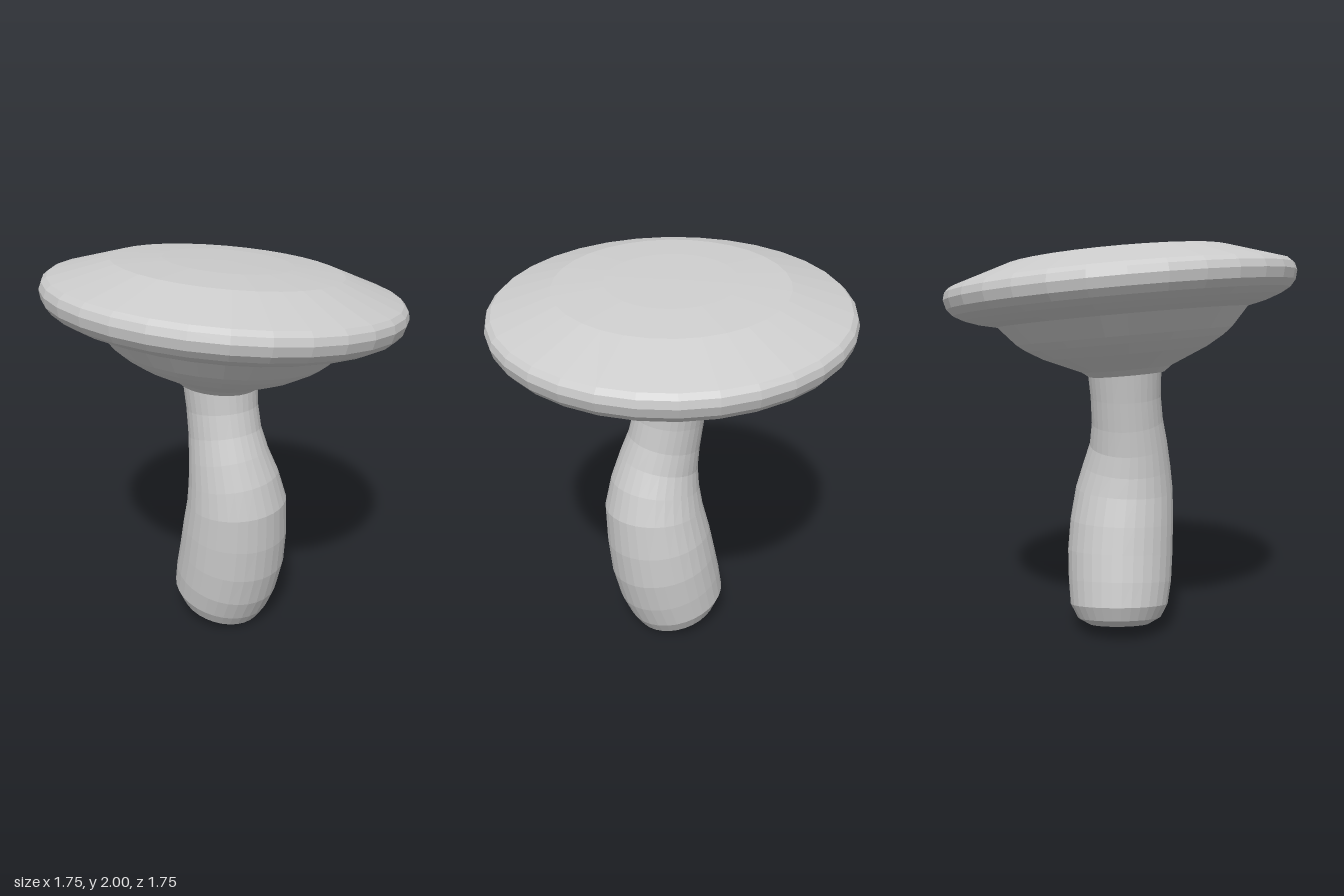
import * as THREE from 'three';

const material = new THREE.MeshStandardMaterial({ color: 0xcccccc, flatShading: true });

// Closed skin through tilted round rings: [x, y, z, radius, slope along x, slope along z], bottom to top
function loftRings(rings, sides) {
  const positions = [], index = [];
  for (const [x, y, z, r, sx, sz] of rings) {
    for (let i = 0; i < sides; i++) {
      const a = (i / sides) * Math.PI * 2;
      const dx = r * Math.cos(a), dz = r * Math.sin(a);
      positions.push(x + dx, y + dx * sx + dz * sz, z + dz);
    }
  }
  for (let k = 0; k < rings.length - 1; k++) {
    for (let i = 0; i < sides; i++) {
      const a = k * sides + i, b = k * sides + ((i + 1) % sides);
      index.push(a, a + sides, b, b, a + sides, b + sides);
    }
  }
  // End discs
  const last = (rings.length - 1) * sides;
  for (let i = 1; i < sides - 1; i++) {
    index.push(0, i, i + 1, last, last + i + 1, last + i);
  }
  const geometry = new THREE.BufferGeometry();
  geometry.setAttribute('position', new THREE.Float32BufferAttribute(positions, 3));
  geometry.setIndex(index);
  geometry.computeVertexNormals();
  return geometry;
}

export function createModel() {
  const group = new THREE.Group();
  group.name = 'mushroom';

  // Crooked stem, bulging in the middle, with a slanted rounded foot
  const stem = new THREE.Mesh(loftRings([
    [-0.025, 0.042, -0.02, 0.16, -0.21, -0.14],
    [-0.022, 0.077, -0.018, 0.22, -0.21, -0.14],
    [-0.016, 0.15, -0.014, 0.257, -0.2, -0.14],
    [0.01, 0.27, 0.01, 0.272, -0.19, -0.16],
    [0.037, 0.42, 0.032, 0.278, -0.13, -0.13],
    [0.051, 0.58, 0.052, 0.273, -0.06, -0.08],
    [0.058, 0.75, 0.074, 0.257, 0.04, -0.02],
    [0.04, 0.88, 0.076, 0.23, 0.14, 0.06],
    [0.015, 1.0, 0.068, 0.202, 0.17, 0.15],
    [-0.003, 1.12, 0.047, 0.184, 0.13, 0.16],
    [-0.016, 1.25, 0.027, 0.18, 0.07, 0.09],
    [-0.025, 1.37, 0.014, 0.187, -0.05, 0.02],
    [-0.028, 1.45, 0.012, 0.187, -0.08, 0.04],
  ], 32), material);
  stem.name = 'stem';
  group.add(stem);

  // Wide cap with rolled rim and a bowl-shaped underside, tilted as one piece
  const profile = [
    [0, -0.44], [0.19, -0.44], [0.23, -0.41], [0.415, -0.33], [0.5, -0.28], [0.545, -0.245],
    [0.63, -0.15], [0.72, -0.13], [0.79, -0.105], [0.84, -0.078], [0.867, -0.045],
    [0.878, 0.0], [0.868, 0.035], [0.845, 0.057],
    [0.56, 0.15], [0.315, 0.17], [0, 0.172],
  ].map(([r, h]) => new THREE.Vector2(r, h));
  const cap = new THREE.Mesh(new THREE.LatheGeometry(profile, 32), material);
  cap.name = 'cap';
  cap.position.y = 1.8;
  cap.quaternion.setFromUnitVectors(
    new THREE.Vector3(0, 1, 0),
    new THREE.Vector3(0.087, 1, -0.045).normalize()
  );
  group.add(cap);

  return group;
}
